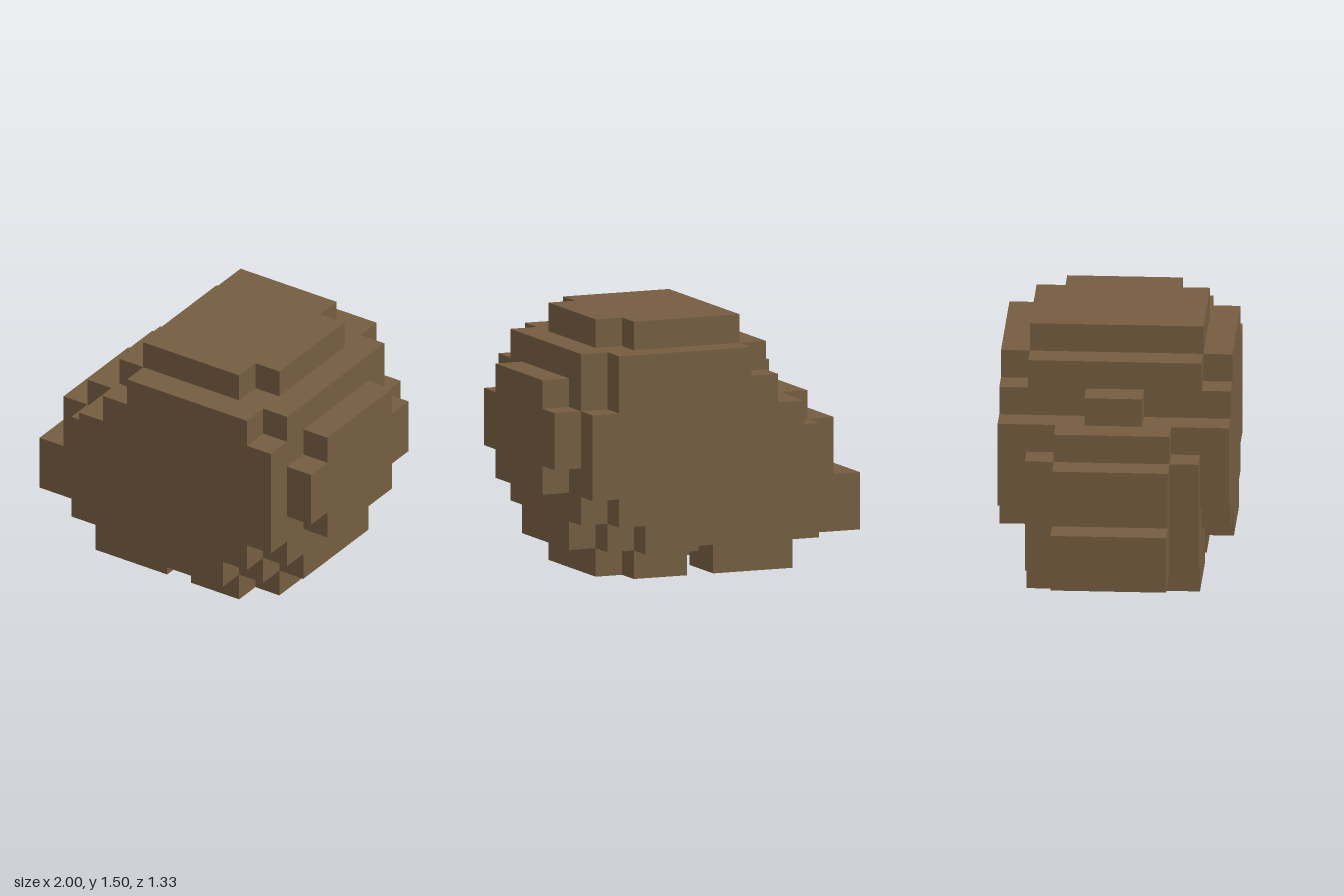
import * as THREE from 'three';

const U = 1 / 6; // one block
const px = (x) => x * U - 1;
const pz = (z) => (z - 4) * U;

export function createModel() {
  const model = new THREE.Group();
  model.name = 'blockBoulder';
  const brown = new THREE.MeshStandardMaterial({ color: 0x755d41 });
  brown.name = 'brown';

  const add = (name, geometry) => {
    const mesh = new THREE.Mesh(geometry, brown);
    mesh.name = name;
    model.add(mesh);
    return mesh;
  };

  // Box between two corners, counted in blocks
  const block = (name, x0, x1, y0, y1, z0, z1) =>
    add(name, new THREE.BoxGeometry((x1 - x0) * U, (y1 - y0) * U, (z1 - z0) * U))
      .position.set(px((x0 + x1) / 2), ((y0 + y1) / 2) * U, pz((z0 + z1) / 2));

  // Stepped slab: rows of [left, right, bottom, top], extruded from z0 to z1
  const slab = (name, rows, z0, z1) => {
    const right = rows.flatMap(([, r, b, t]) => [[r, b], [r, t]]);
    const left = rows.flatMap(([l, , b, t]) => [[l, b], [l, t]]).reverse();
    const outline = [...right, ...left].map(([x, y]) => new THREE.Vector2(px(x), y * U));
    const points = outline.filter((p, i) => i === 0 || !p.equals(outline[i - 1]));
    const geometry = new THREE.ExtrudeGeometry(new THREE.Shape(points), {
      depth: (z1 - z0) * U, bevelEnabled: false,
    });
    add(name, geometry).position.z = pz(z0);
  };

  // Main body
  slab('body', [[2, 10, 1, 2], [2, 11, 2, 5], [3, 11, 5, 6], [4, 11, 6, 8]], 1, 7);

  // Side plates; the back one is notched a little more
  slab('frontPlate', [[6, 9, 1, 2], [4, 10, 2, 3], [3, 11, 3, 6], [4, 11, 6, 7], [5, 10, 7, 8]], 7, 8);
  slab('backPlate', [[7, 9, 1, 2], [4, 10, 2, 3], [3, 11, 3, 6], [4, 10, 6, 7], [5, 10, 7, 8]], 0, 1);

  // Top cap
  block('topCap', 5, 9, 8, 9, 1, 7);
  block('topCapEnd', 9, 10, 8, 9, 2, 6);

  // Stepped end on the -x side
  block('upperStep', 2, 3, 5, 6, 2, 6);
  block('middleStep', 1, 2, 1, 5, 2, 6);
  block('lowerStep', 0, 1, 1, 3, 2, 6);
  block('bump', 3, 4, 6, 7, 3, 5);

  // Raised panel on the +x side
  block('endPanelWide', 11, 12, 4, 6, 1, 7);
  block('endPanelTall', 11, 12, 3, 7, 2, 6);
  block('lowerEnd', 10, 11, 1, 2, 2, 6);

  // Base: one wide foot and a pair of small ones
  block('wideFoot', 7, 9, 0, 1, 1, 7);
  block('wideFootEnd', 9, 10, 0, 1, 2, 6);
  for (const [name, z] of [['backFoot', 1], ['frontFoot', 5]]) block(name, 3, 6, 0, 1, z, z + 2);

  return model;
}
